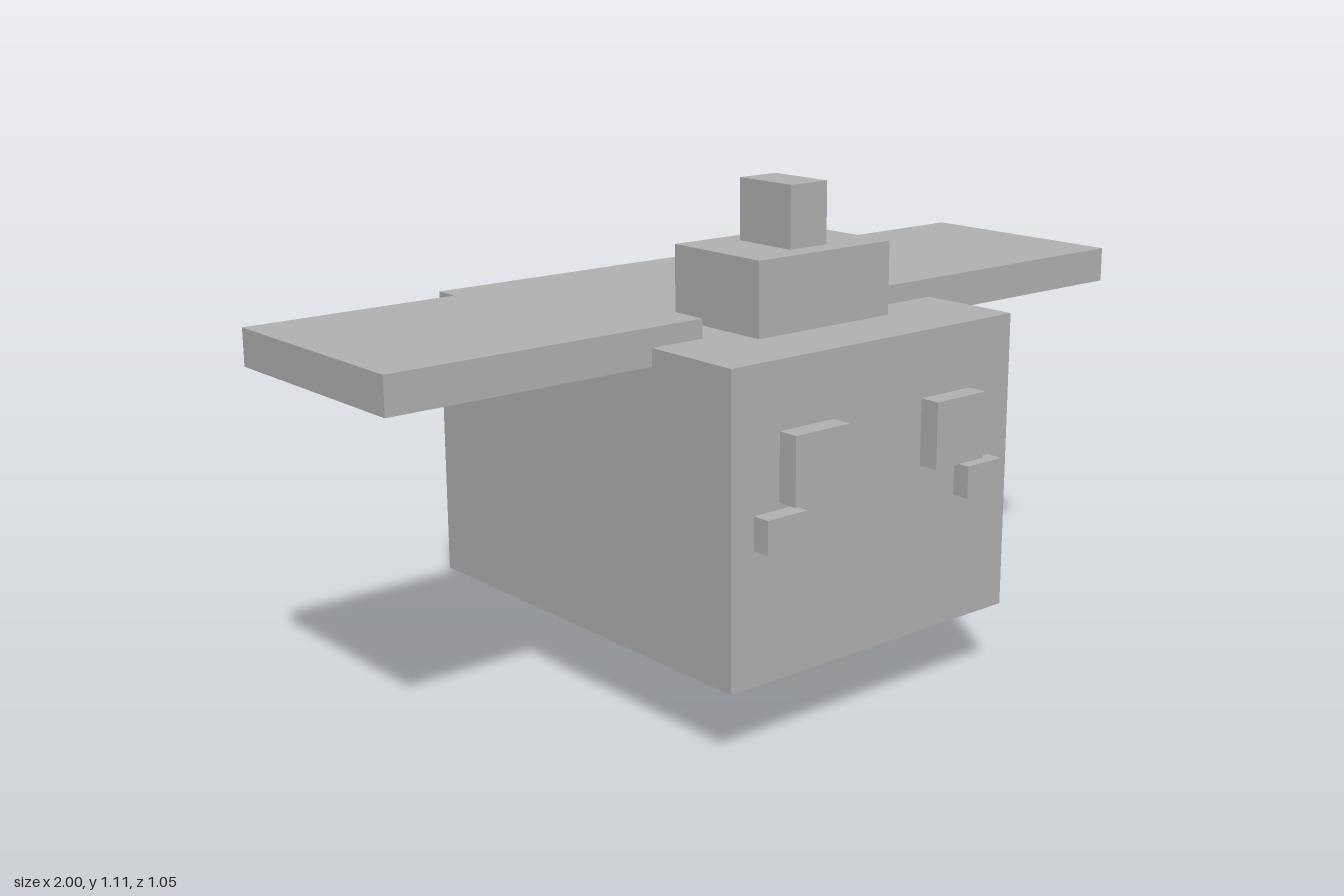
import * as THREE from 'three';

export function createModel() {
  const model = new THREE.Group();
  model.name = 'blockyFlyer';
  const grey = new THREE.MeshStandardMaterial({ color: 0xb3b3b3 });
  grey.name = 'plain grey';

  // Box given by its extents along each axis
  function block(name, [x0, x1], [y0, y1], [z0, z1]) {
    const mesh = new THREE.Mesh(new THREE.BoxGeometry(x1 - x0, y1 - y0, z1 - z0), grey);
    mesh.position.set((x0 + x1) / 2, (y0 + y1) / 2, (z0 + z1) / 2);
    mesh.name = name;
    model.add(mesh);
  }

  // Mirrored pair: the left one is on +x
  function pair(name, [x0, x1], y, z) {
    block('left' + name, [x0, x1], y, z);
    block('right' + name, [-x1, -x0], y, z);
  }

  // Body and the single foot below it
  block('body', [-0.395, 0.395], [0.16, 0.816], [-0.523, 0.477]);
  block('foot', [-0.104, 0.104], [0, 0.16], [-0.075, 0.135]);

  // Stepped crest on the head
  block('crestBase', [-0.184, 0.184], [0.816, 0.975], [0.057, 0.319]);
  block('crestTip', [-0.051, 0.051], [0.975, 1.108], [0.11, 0.266]);

  // Wings, eyes and cheeks
  pair('Wing', [0.265, 1], [0.778, 0.857], [-0.285, 0.24]);
  pair('Eye', [0.126, 0.27], [0.529, 0.673], [0.477, 0.523]);
  pair('Cheek', [0.232, 0.336], [0.444, 0.515], [0.477, 0.517]);

  return model;
}
